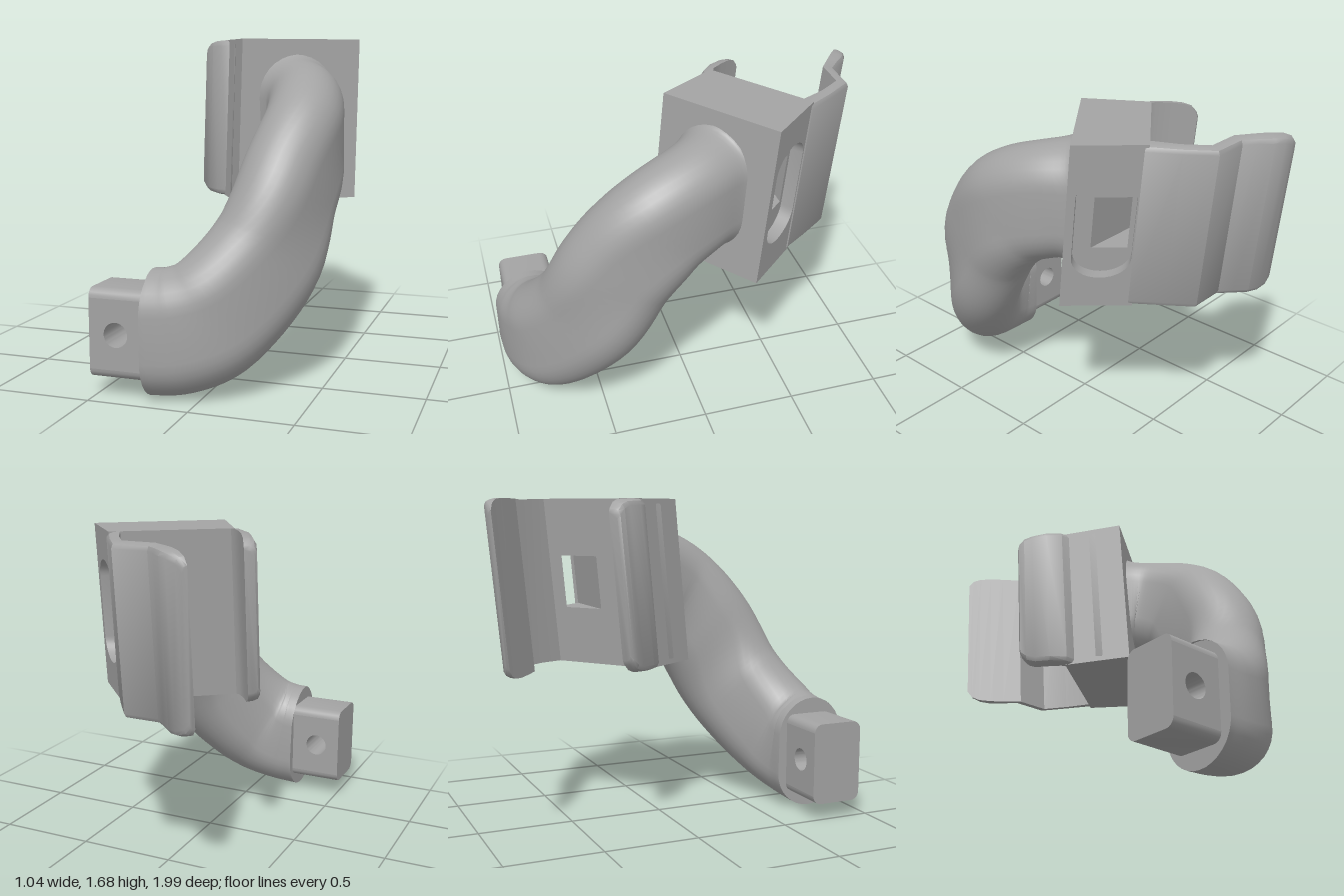
import * as THREE from 'three';
import { mergeGeometries, toCreasedNormals } from 'three/addons/utils/BufferGeometryUtils.js';

const V = (x, y, z) => new THREE.Vector3(x, y, z);
const TOP = 1.68, BOTTOM = 0.83;
// the clamp leans: lower points move forward
const lean = (x, y, z) => V(x, y, z + (TOP - y) * 0.094);

function fromPoints(points) {
  const g = new THREE.BufferGeometry().setFromPoints(points);
  g.computeVertexNormals();
  return g;
}

// skin a row of closed cross-sections, with optional end caps
function loft(sections, caps = true) {
  const p = [], n = sections[0].length;
  for (let i = 0; i < sections.length - 1; i++) {
    const a = sections[i], b = sections[i + 1];
    for (let j = 0; j < n; j++) {
      const k = (j + 1) % n;
      p.push(a[j], a[k], b[j], a[k], b[k], b[j]);
    }
  }
  if (caps) {
    const a = sections[0], b = sections[sections.length - 1];
    for (let j = 1; j < n - 1; j++) p.push(a[0], a[j + 1], a[j], b[0], b[j], b[j + 1]);
  }
  return toCreasedNormals(fromPoints(p), 0.6);
}

// closed stadium outline, long axis second
function stadium(r, height, steps = 16) {
  const out = [], s = height / 2 - r;
  for (let i = 0; i <= steps; i++) out.push([r * Math.cos(Math.PI * i / steps), s + r * Math.sin(Math.PI * i / steps)]);
  for (let i = 0; i <= steps; i++) out.push([-r * Math.cos(Math.PI * i / steps), -s - r * Math.sin(Math.PI * i / steps)]);
  return out;
}

// flat panel from a 2D outline with holes, placed by a mapping function
function panel(outline, holes, map) {
  const toV2 = l => l.map(q => new THREE.Vector2(q[0], q[1]));
  const shape = new THREE.Shape(toV2(outline));
  for (const h of holes) shape.holes.push(new THREE.Path(toV2(h)));
  const g = new THREE.ShapeGeometry(shape).toNonIndexed();
  const p = g.attributes.position, pts = [];
  for (let i = 0; i < p.count; i++) pts.push(map(p.getX(i), p.getY(i)));
  return fromPoints(pts);
}

// curved arm of stadium section
function armGeometry() {
  const curve = new THREE.CatmullRomCurve3([
    V(-0.235, 0.302, 0.805), V(-0.12, 0.315, 0.795), V(0.02, 0.375, 0.745), V(0.225, 0.64, 0.56),
    V(0.3, 0.955, 0.395), V(0.32, 1.165, 0.2), V(0.262, 1.25, 0), V(0.175, 1.262, -0.13),
  ], false, 'centripetal');
  const N = 56, sections = [];
  for (let i = 0; i <= N; i++) {
    const t = i / N, c = curve.getPoint(t), T = curve.getTangent(t);
    if (i === 0) T.set(1, 0, 0);
    const side = T.clone().cross(V(0, 1, 0)).normalize();
    const up = side.clone().cross(T).normalize();
    const flare = 0.035 * Math.pow(Math.max(0, (t - 0.84) / 0.16), 2);
    sections.push(stadium(0.194 + flare, 0.606 + 2 * flare).map(([a, b]) =>
      c.clone().addScaledVector(side, a).addScaledVector(up, b)));
  }
  return loft(sections);
}

// clamp block with a side pocket and a window through to the jaws
function blockGeometry() {
  const frontL = [-0.05, 0.07], frontR = [0.48, -0.34], backR = [0.24, -0.6], backL = [-0.24, -0.23];
  const line = (a, b) => z => a[0] + (b[0] - a[0]) * (z - a[1]) / (b[1] - a[1]);
  const face = f => (z, y) => lean(f(z), y, z);
  const rect = (z0, z1, y0 = BOTTOM, y1 = TOP) => [[z0, y0], [z1, y0], [z1, y1], [z0, y1]];
  const wall = (a, b) => rect(a[1], b[1]);
  const side = line(frontR, backR), back = line(backL, backR);
  const floor = z => side(z - 0.043) - 0.055;
  const slot = stadium(0.105, 0.53).map(([a, b]) => [a - 0.475, b + 1.255]);
  const slotIn = slot.map(([z, y]) => [z + 0.043, y]);
  const win = rect(-0.39, -0.52, 1.12, 1.39);
  const ring = (loop, f) => loop.map(q => face(f)(q[0], q[1]));
  const plan = [frontL, frontR, backR, backL];
  return mergeGeometries([
    panel(plan, [], (x, z) => lean(x, TOP, z)),
    panel(plan, [], (x, z) => lean(x, BOTTOM, z)),
    panel(wall(frontL, frontR), [], face(line(frontL, frontR))),
    panel(wall(frontL, backL), [], face(line(frontL, backL))),
    panel(wall(frontR, backR), [slot], face(side)),
    panel(slotIn, [win], face(floor)),
    panel(wall(backL, backR), [win], face(back)),
    loft([ring(slot, side), ring(slotIn, floor)], false),
    loft([ring(win, floor), ring(win, back)], false),
  ].map(g => g.index ? g.toNonIndexed() : g));
}

// jaw stations: inner x, z, outer x, z, inset from top and bottom
function jawGeometry(stations) {
  const profile = [[0, 0], [0.5, 0.002], [0.82, 0.01], [1, 0.03]];
  return loft(stations.map(([ix, iz, ox, oz, m]) => {
    const at = (k, y) => lean(ix + (ox - ix) * k, y, iz + (oz - iz) * k);
    const upper = profile.map(([k, d]) => at(k, TOP - m - d));
    const lower = profile.map(([k, d]) => at(k, BOTTOM + m + d)).reverse();
    return [...upper, ...lower];
  }));
}

// end peg with rounded long edges and a cross hole
function pegGeometry() {
  const x0 = -0.515, x1 = -0.22, z0 = 0.66, z1 = 0.94, r = 0.045;
  const core = new THREE.Shape([[x0, 0.09 + r], [x1, 0.09 + r], [x1, 0.52 - r], [x0, 0.52 - r]]
    .map(q => new THREE.Vector2(...q)));
  core.holes.push(new THREE.Path().absarc(-0.38, 0.305, 0.06, 0, Math.PI * 2, true));
  const middle = new THREE.ExtrudeGeometry(core, { depth: z1 - z0, bevelEnabled: false, curveSegments: 24 });
  middle.translate(0, 0, z0);
  const parts = [toCreasedNormals(middle, 0.6)];
  parts[0].deleteAttribute('uv');
  for (const s of [1, -1]) {
    const outline = [];
    for (let i = 0; i <= 12; i++) {
      const a = Math.PI * (i < 6 ? i / 10 : (i - 2) / 10);
      const cz = i <= 6 ? z1 - r : z0 + r;
      const b = i <= 5 ? a : Math.PI / 2 + Math.PI * Math.max(0, i - 7) / 10;
      outline.push([cz + r * Math.cos(b), s > 0 ? 0.52 - r + r * Math.sin(b) : 0.09 + r - r * Math.sin(b)]);
    }
    parts.push(loft([x0, x1].map(x => outline.map(([z, y]) => V(x, y, z)))));
  }
  return mergeGeometries(parts);
}

export function createModel() {
  const group = new THREE.Group();
  const grey = new THREE.MeshStandardMaterial({ color: 0xa3a3a3, side: THREE.DoubleSide });
  grey.name = 'plain grey';
  const add = (name, geometry) => {
    const mesh = new THREE.Mesh(geometry, grey);
    mesh.name = name;
    group.add(mesh);
  };
  add('curvedArm', armGeometry());
  add('endPeg', pegGeometry());
  add('clampBlock', blockGeometry());
  add('shortJaw', jawGeometry([
    [-0.16, -0.22, -0.13, -0.05, 0], [-0.21, -0.235, -0.2, -0.185, 0], [-0.25, -0.25, -0.26, -0.19, 0],
    [-0.3, -0.31, -0.33, -0.245, 0.002], [-0.335, -0.365, -0.375, -0.315, 0.006],
    [-0.355, -0.395, -0.405, -0.355, 0.02], [-0.368, -0.418, -0.42, -0.385, 0.05], [-0.372, -0.425, -0.415, -0.4, 0.07],
  ]));
  add('longJaw', jawGeometry([
    [0.2, -0.56, 0.26, -0.59, 0], [0.13, -0.69, 0.165, -0.73, 0.004], [0.05, -0.8, 0.07, -0.86, 0.004],
    [-0.12, -0.8, -0.11, -0.86, 0.004], [-0.2, -0.86, -0.165, -0.91, 0.002], [-0.26, -0.905, -0.22, -0.965, 0.002],
    [-0.31, -0.945, -0.265, -0.99, 0.008], [-0.345, -0.97, -0.315, -0.999, 0.025], [-0.365, -0.985, -0.345, -0.998, 0.06],
  ]));
  return group;
}
